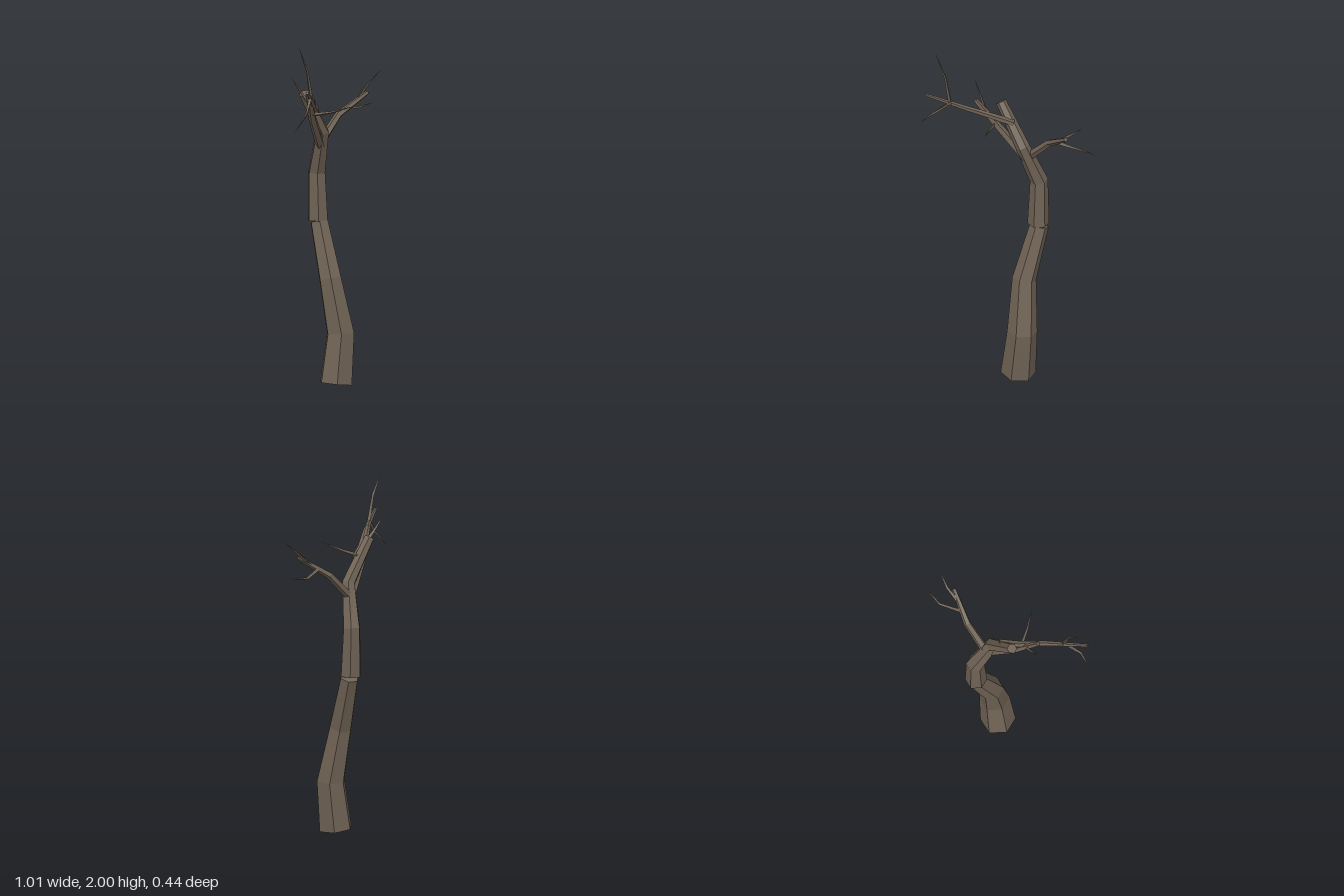
import * as THREE from 'three';

// Faceted limb through points [x, y, z, radius]; rings are mitred at the bends
function limbGeometry(points, sides, phase) {
  const centres = points.map(p => new THREE.Vector3(p[0], p[1], p[2]));
  const up = new THREE.Vector3(0, 1, 0);
  const last = points.length - 1;
  const rings = centres.map((c, i) => {
    const tangent = new THREE.Vector3();
    if (i > 0) tangent.add(c.clone().sub(centres[i - 1]).normalize());
    if (i < last) tangent.add(centres[i + 1].clone().sub(c).normalize());
    const turn = new THREE.Quaternion().setFromUnitVectors(up, tangent.normalize());
    return Array.from({ length: sides }, (_, j) => {
      const a = phase + (j / sides) * Math.PI * 2;
      return new THREE.Vector3(Math.cos(a), 0, Math.sin(a))
        .multiplyScalar(points[i][3]).applyQuaternion(turn).add(c);
    });
  });
  const pos = [];
  const tri = (...corners) => corners.forEach(v => pos.push(v.x, v.y, v.z));
  for (let j = 0; j < sides; j++) {
    const k = (j + 1) % sides;
    for (let i = 0; i < last; i++) {
      tri(rings[i][k], rings[i][j], rings[i + 1][j]);
      tri(rings[i][k], rings[i + 1][j], rings[i + 1][k]);
    }
    tri(centres[0], rings[0][j], rings[0][k]);
    tri(centres[last], rings[last][k], rings[last][j]);
  }
  const geometry = new THREE.BufferGeometry();
  geometry.setAttribute('position', new THREE.Float32BufferAttribute(pos, 3));
  geometry.computeVertexNormals();
  return geometry;
}

export function createModel() {
  const tree = new THREE.Group();
  tree.name = 'bareTree';
  const bark = new THREE.MeshStandardMaterial({ color: 0x6f6254, flatShading: true });
  bark.name = 'bark';

  const add = (name, sides, phase, points) => {
    const mesh = new THREE.Mesh(limbGeometry(points, sides, phase), bark);
    mesh.name = name;
    tree.add(mesh);
  };
  const trunk = (name, points) => add(name, 6, Math.PI / 12, points);
  const branch = (name, points) => add(name, 5, 0.3, points);
  // Twigs are three-sided and run out to a point
  const twig = (name, base, middle, tip) =>
    add(name, 3, 0.5, [[...base, 0.012], [...middle, 0.0075], [...tip, 0.0006]]);

  // Trunk in two sections, with a small step where they meet
  trunk('lowerTrunk', [
    [0.05, 0.016, -0.005, 0.1], [0.083, 0.3, 0, 0.086],
    [0.055, 0.61, -0.053, 0.069], [0.08, 0.922, -0.158, 0.055],
  ]);
  trunk('upperTrunk', [
    [0.071, 0.932, -0.16, 0.062], [0.07, 1.21, -0.167, 0.052],
    [0.02, 1.45, -0.082, 0.04], [-0.137, 1.688, -0.082, 0.03],
  ]);

  // Main branches
  branch('leftBranch', [
    [0.03, 1.37, -0.115, 0.026], [0.19, 1.525, -0.11, 0.021], [0.363, 1.64, -0.045, 0.013],
  ]);
  branch('rightBranch', [
    [0.025, 1.37, -0.1, 0.028], [-0.11, 1.54, -0.04, 0.023], [-0.23, 1.718, 0.035, 0.014],
  ]);
  branch('longRightBranch', [
    [-0.04, 1.585, -0.075, 0.021], [-0.13, 1.62, -0.015, 0.018],
    [-0.25, 1.675, 0.082, 0.015], [-0.445, 1.755, 0.216, 0.009],
  ]);

  // Twigs
  twig('leftLowTwig', [0.26, 1.565, -0.09], [0.38, 1.54, -0.14], [0.505, 1.554, -0.133]);
  twig('leftHighTwig', [0.3, 1.6, -0.07], [0.385, 1.67, -0.075], [0.477, 1.752, -0.05]);
  twig('tallTwig', [-0.325, 1.7, 0.138], [-0.36, 1.86, 0.14], [-0.432, 2, 0.143]);
  twig('hangingTwig', [-0.33, 1.71, 0.14], [-0.415, 1.63, 0.188], [-0.507, 1.535, 0.18]);
  twig('rightBackTwig', [-0.165, 1.62, 0], [-0.225, 1.7, -0.02], [-0.29, 1.795, -0.038]);
  twig('rightFrontTwig', [-0.135, 1.57, -0.015], [-0.09, 1.59, 0.085], [-0.02, 1.632, 0.207]);

  return tree;
}
